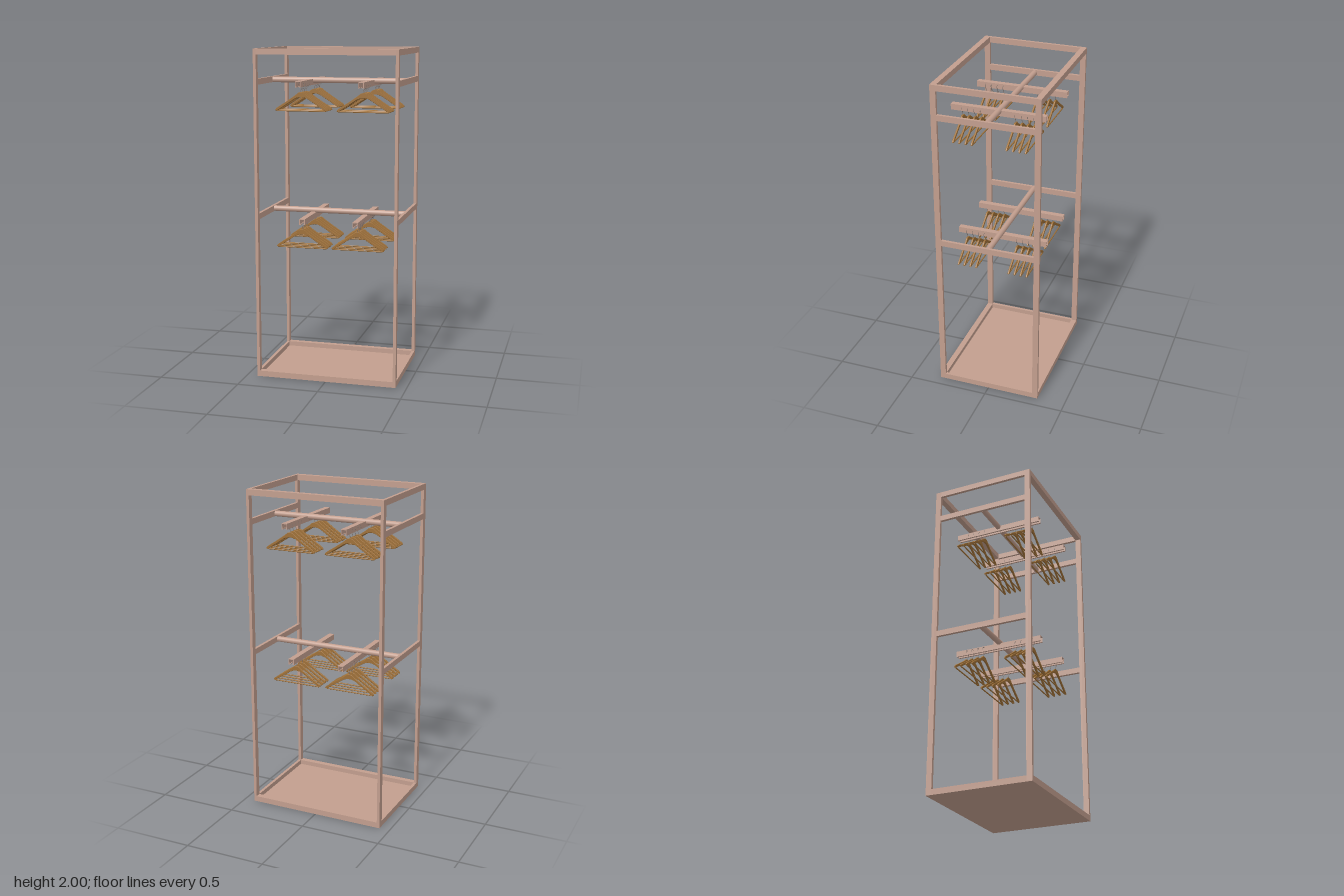
import * as THREE from 'three';

const W = 0.435, D = 0.325, H = 2; // half width, half depth, height
const TX = 0.018, T = 0.035; // frame bar thickness across x, and across y / z

function material(name, color, side = THREE.FrontSide) {
  const m = new THREE.MeshStandardMaterial({ color, side });
  m.name = name;
  return m;
}

function add(parent, name, geometry, mat, x = 0, y = 0, z = 0) {
  const mesh = new THREE.Mesh(geometry, mat);
  mesh.name = name;
  mesh.position.set(x, y, z);
  parent.add(mesh);
  return mesh;
}

// Curved wooden shoulder outline, mirrored about the neck; y = 0 is the underside
function shoulderGeometry() {
  const top = [[0.016, 0.112], [0.036, 0.096], [0.09, 0.059], [0.145, 0.024], [0.158, 0.012], [0.16, 0.005]];
  const under = [[0.15, 0.004], [0.134, 0.014], [0.08, 0.049], [0.04, 0.075], [0.016, 0.084]];
  const half = [[0, 0.115], ...top, ...under, [0, 0.086]].map(([x, y]) => new THREE.Vector2(x, y));
  const right = new THREE.SplineCurve(half).getPoints(32);
  const left = right.slice(1, -1).reverse().map((p) => new THREE.Vector2(-p.x, p.y));
  const geometry = new THREE.ExtrudeGeometry(new THREE.Shape([...right, ...left]), {
    depth: 0.006, bevelEnabled: true, bevelThickness: 0.002, bevelSize: 0.0015, bevelOffset: -0.0015, bevelSegments: 1,
  });
  return geometry.translate(0, 0, -0.003);
}

// Wire stem rising from the neck into a round loop with an open tip on the left
function hookGeometry() {
  const points = [[0, 0.108], [0, 0.128], [0.006, 0.138]];
  for (let i = 0; i <= 7; i++) {
    const a = -0.6 + (i / 7) * (Math.PI + 0.75);
    points.push([0.018 * Math.cos(a), 0.158 + 0.018 * Math.sin(a)]);
  }
  const curve = new THREE.CatmullRomCurve3(points.map(([x, y]) => new THREE.Vector3(x, y, 0)));
  return new THREE.TubeGeometry(curve, 28, 0.0017, 6);
}

// Hollow square channel with a slot along its underside
function railGeometry(length) {
  const o = T / 2, i = o - 0.004, s = 0.008;
  const outline = [[-s, -o], [-s, -i], [-i, -i], [-i, i], [i, i], [i, -i], [s, -i], [s, -o], [o, -o], [o, o], [-o, o], [-o, -o]];
  const shape = new THREE.Shape(outline.map(([x, y]) => new THREE.Vector2(x, y)));
  return new THREE.ExtrudeGeometry(shape, { depth: length, bevelEnabled: false });
}

export function createModel() {
  const model = new THREE.Group();
  model.name = 'openWardrobe';
  const frameMat = material('rosyFrame', 0xc29e8e);
  const woodMat = material('hangerWood', 0x9e7038);
  const wireMat = material('hookWire', 0x85776f);

  // Floor and outer frame
  const frame = new THREE.Group();
  frame.name = 'frame';
  model.add(frame);
  add(frame, 'floor', new THREE.BoxGeometry(2 * W, 0.006, 2 * D), frameMat, 0, 0.003);
  const post = new THREE.BoxGeometry(TX, H, T);
  const longBeam = new THREE.BoxGeometry(2 * (W - TX), T, T);
  const sideBeam = new THREE.BoxGeometry(TX, T, 2 * (D - T));
  for (const sx of [-1, 1]) {
    for (const sz of [-1, 1]) add(frame, 'post', post, frameMat, sx * (W - TX / 2), H / 2, sz * (D - T / 2));
    for (const y of [T / 2, 0.998, 1.805, H - T / 2]) add(frame, 'sideBeam', sideBeam, frameMat, sx * (W - TX / 2), y);
  }
  for (const sz of [-1, 1]) {
    for (const y of [T / 2, H - T / 2]) add(frame, 'longBeam', longBeam, frameMat, 0, y, sz * (D - T / 2));
  }

  // Round poles spanning between the side beams
  const pole = new THREE.CylinderGeometry(T / 2, T / 2, 2 * (W - TX), 32).rotateZ(Math.PI / 2);
  for (const y of [0.998, 1.804]) add(model, 'pole', pole, frameMat, 0, y, -0.002);

  // Hanger, shared geometry
  const shoulder = shoulderGeometry();
  const trouserBar = new THREE.CylinderGeometry(0.004, 0.004, 0.304, 10).rotateZ(Math.PI / 2);
  const hook = hookGeometry();
  function addHanger(parent, x, y, z) {
    const hanger = new THREE.Group();
    hanger.name = 'hanger';
    hanger.position.set(x, y, z);
    add(hanger, 'shoulders', shoulder, woodMat);
    add(hanger, 'trouserBar', trouserBar, woodMat, 0, 0.004);
    add(hanger, 'hook', hook, wireMat);
    parent.add(hanger);
  }

  // Rails running front to back, each with eight hangers
  const sets = [
    { name: 'upperRightRail', x: -0.176, y: 1.792, z0: -0.29, z1: 0.277, front: -0.172, back: -0.18, base: 1.629 },
    { name: 'upperLeftRail', x: 0.207, y: 1.792, z0: -0.285, z1: 0.29, front: 0.207, back: 0.207, base: 1.629 },
    { name: 'lowerRightRail', x: -0.157, y: 0.971, z0: -0.29, z1: 0.271, front: -0.17, back: -0.18, base: 0.801 },
    { name: 'lowerLeftRail', x: 0.172, y: 0.967, z0: -0.29, z1: 0.275, front: 0.175, back: 0.175, base: 0.801 },
  ];
  for (const s of sets) {
    const group = new THREE.Group();
    group.name = s.name;
    add(group, 'rail', railGeometry(s.z1 - s.z0), frameMat, s.x, s.y, s.z0);
    for (let i = 0; i < 4; i++) {
      addHanger(group, s.front, s.base, 0.11 + i * 0.038);
      addHanger(group, s.back, s.base, -0.099 - i * 0.038);
    }
    model.add(group);
  }
  return model;
}
